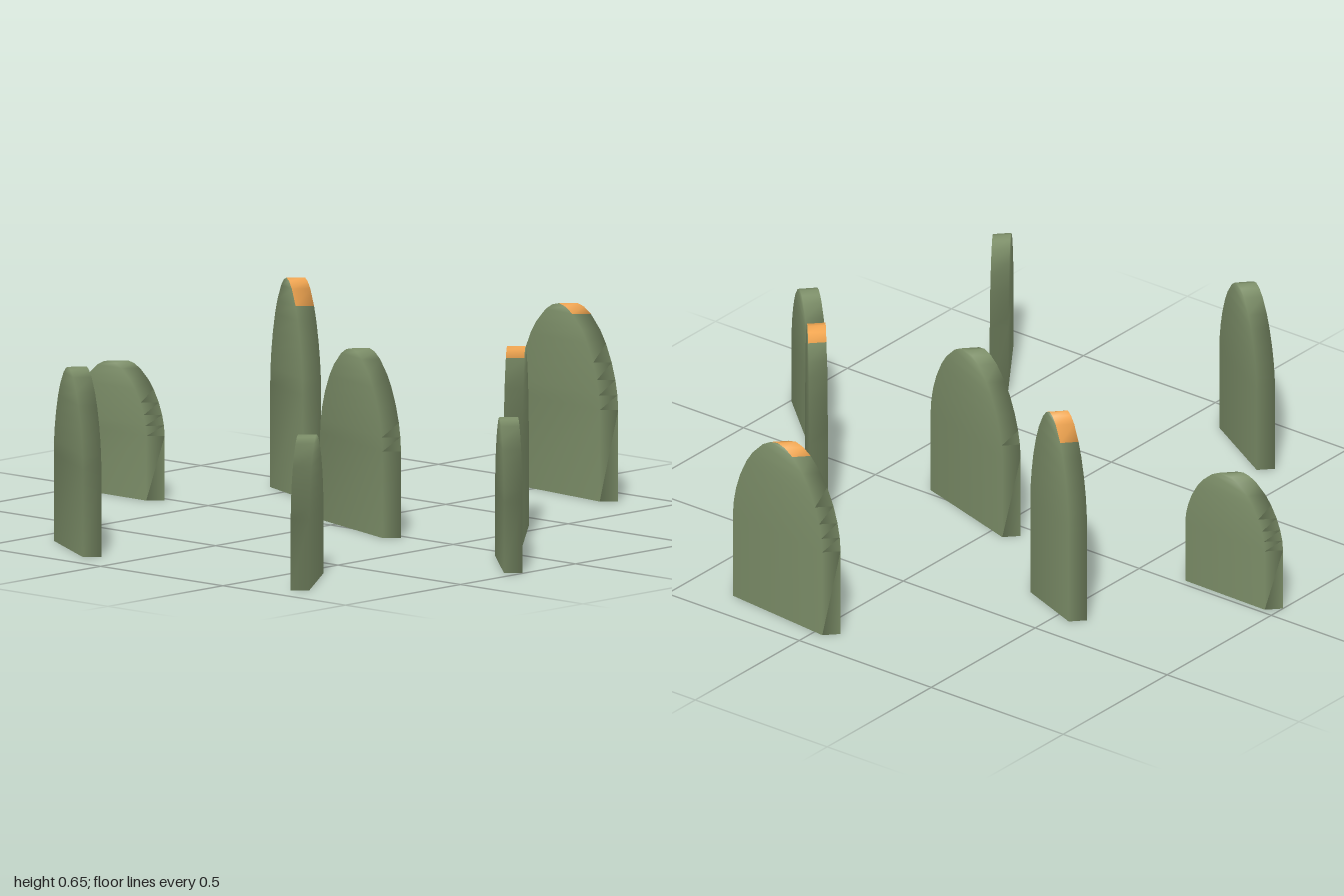
import * as THREE from 'three';

const green = new THREE.MeshStandardMaterial({ color: 0x7d8f69 });
const orange = new THREE.MeshStandardMaterial({ color: 0xf2a651 });

// Every slab is sheared back by the same offset
const BACK = [0.038, -0.04];

// Front base line (ax, az)-(bx, bz), height, half-width share of the coloured top
const SLABS = [
  ['backSlab', -0.07, -0.89, 0.30, -0.85, 0.575, 0.33],
  ['tallSlab', -0.59, -0.365, -0.38, -0.283, 0.65, 0.56],
  ['backLeftSlab', 0.40, -0.355, 0.645, -0.065, 0.575, 0.33],
  ['centerSlab', -0.09, -0.05, 0.27, 0.062, 0.545, 0],
  ['rightSlab', -1.0, 0.057, -0.695, 0.062, 0.405, 0],
  ['leftSlab', 0.73, 0.062, 0.957, 0.265, 0.445, 0],
  ['frontRightSlab', -0.41, 0.767, -0.15, 0.917, 0.55, 0],
  ['frontLeftSlab', 0.53, 0.676, 0.706, 0.925, 0.445, 0],
];

// Arched half outline as [half-width share, height share], base to peak
const ARC = [1, 0.98, 0.93, 0.84, 0.7, 0.56, 0.33, 0.16, 0];
const HALF = [[1, 0], ...ARC.map(u =>
  [u, 0.48 + 0.52 * Math.pow(1 - Math.pow(u, 1.75), 1 / 1.75)])];

function createSlab([name, ax, az, bx, bz, height, cap]) {
  const outline = [
    ...HALF.map(([u, v]) => [-u, v]),
    ...HALF.slice(0, -1).reverse(),
  ];
  const n = outline.length;
  const pos = [];
  const addPoint = ([u, v], depth) => {
    const t = (u + 1) / 2;
    pos.push(ax + (bx - ax) * t + BACK[0] * depth, v * height,
      az + (bz - az) * t + BACK[1] * depth);
  };
  for (const depth of [0, 1]) outline.forEach(p => addPoint(p, depth));

  // Own corners for the underside, so its edge stays sharp
  for (const depth of [0, 1]) {
    addPoint(outline[0], depth);
    addPoint(outline[n - 1], depth);
  }

  const body = [], top = [];
  const quad = (list, a, b, c, d) => list.push(a, b, c, a, c, d);

  // Front and back faces in horizontal strips
  for (let i = 0; i < HALF.length - 1; i++) {
    const l0 = i, l1 = i + 1, r0 = n - 1 - i, r1 = n - 2 - i;
    body.push(l0, r0, r1, n + r0, n + l0, n + r1);
    if (l1 !== r1) body.push(l0, r1, l1, n + r1, n + l0, n + l1);
  }
  // Rim, coloured near the peak
  for (let i = 0; i < n - 1; i++) {
    const reach = Math.max(Math.abs(outline[i][0]), Math.abs(outline[i + 1][0]));
    quad(reach <= cap ? top : body, n + i, i, i + 1, n + i + 1);
  }
  // Underside
  quad(body, 2 * n + 3, 2 * n + 1, 2 * n, 2 * n + 2);

  // Smooth normals are shared by body and coloured top
  const whole = new THREE.BufferGeometry();
  whole.setAttribute('position', new THREE.Float32BufferAttribute(pos, 3));
  whole.setIndex([...body, ...top]);
  whole.computeVertexNormals();

  const group = new THREE.Group();
  group.name = name;
  const addMesh = (part, index, material) => {
    const geometry = whole.clone();
    geometry.setIndex(index);
    const mesh = new THREE.Mesh(geometry, material);
    mesh.name = part;
    group.add(mesh);
  };
  addMesh('slabBody', body, green);
  if (top.length) addMesh('colouredTop', top, orange);
  return group;
}

export function createModel() {
  const model = new THREE.Group();
  model.name = 'standingSlabs';
  SLABS.forEach(slab => model.add(createSlab(slab)));
  return model;
}
